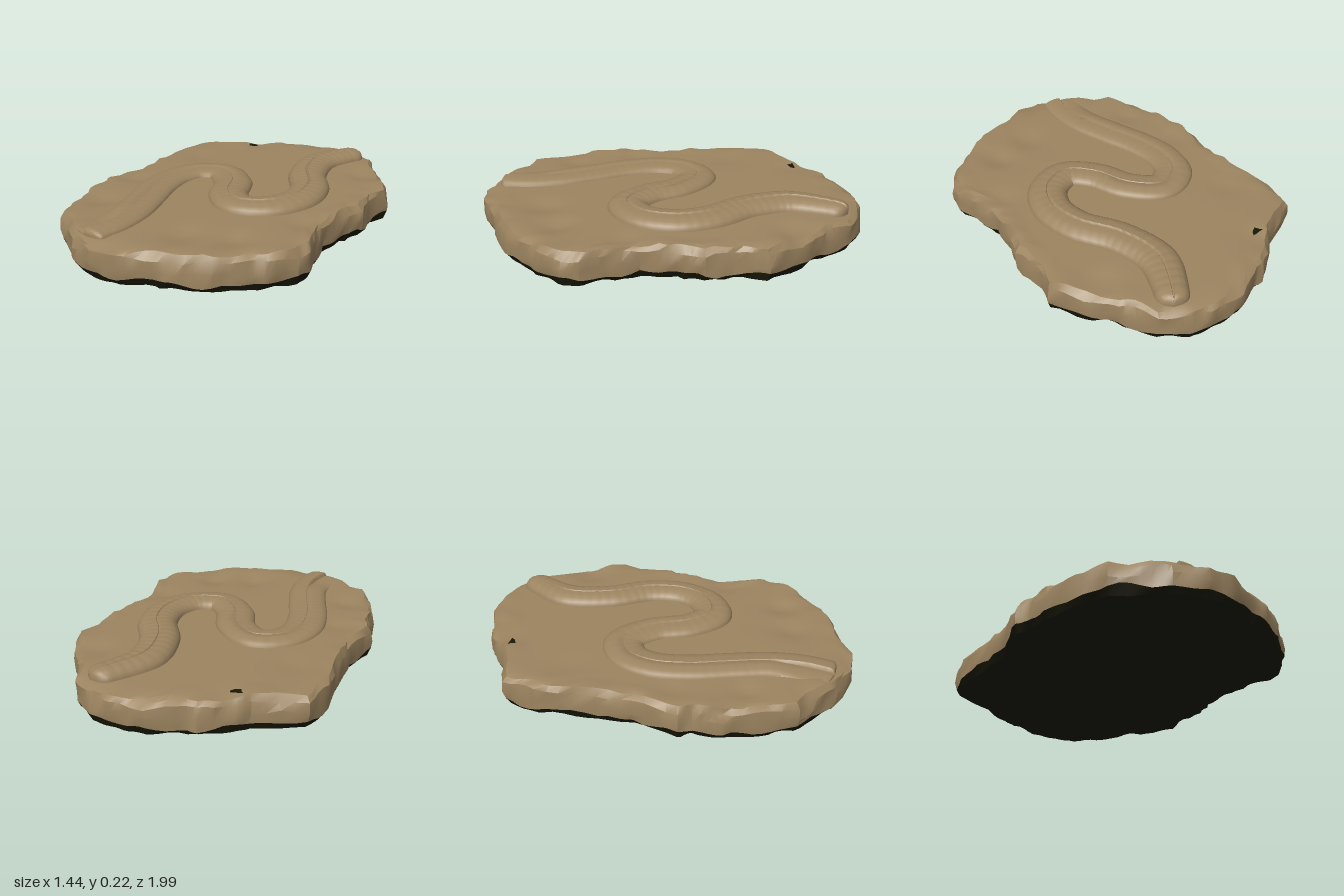
import * as THREE from 'three';
import { toCreasedNormals } from 'three/addons/utils/BufferGeometryUtils.js';

// Slab outline (x, z), clockwise from the back as seen from above
const OUTLINE = [
  [0, -0.995], [0.1, -1], [0.2, -0.985], [0.33, -0.91], [0.41, -0.79], [0.45, -0.74], [0.55, -0.64], [0.655, -0.48],
  [0.63, -0.37], [0.67, -0.18], [0.64, -0.05], [0.63, 0.13], [0.675, 0.29], [0.72, 0.4], [0.715, 0.49],
  [0.64, 0.61], [0.57, 0.67], [0.46, 0.785], [0.32, 0.87], [0.22, 0.9], [0.07, 0.98], [-0.07, 1],
  [-0.235, 0.95], [-0.31, 0.9], [-0.475, 0.81], [-0.56, 0.66], [-0.635, 0.49], [-0.655, 0.35], [-0.695, 0.29],
  [-0.665, 0.06], [-0.69, -0.18], [-0.725, -0.42], [-0.705, -0.6], [-0.48, -0.72], [-0.42, -0.79],
  [-0.3, -0.89], [-0.25, -0.89], [-0.09, -0.985],
];

// Centre line of the body (x, z) from the back end to the front end
const PATH = [
  [0.245, -0.9], [0.185, -0.78], [0.135, -0.61], [0.2, -0.39], [0.33, -0.2], [0.37, -0.02], [0.31, 0.14],
  [0.17, 0.21], [0.04, 0.12], [-0.06, -0.05], [-0.21, -0.15], [-0.335, -0.08], [-0.375, 0.06],
  [-0.34, 0.24], [-0.26, 0.43], [-0.19, 0.61], [-0.165, 0.77], [-0.18, 0.92],
];

// Body cross-section: sideways position and relative height, with a centre groove
const SECTION = [
  [-1, -0.3], [-0.99, 0.15], [-0.9, 0.5], [-0.7, 0.8], [-0.4, 0.97], [-0.1, 1], [-0.04, 0.88],
  [0.02, 0.86], [0.05, 0.95], [0.4, 0.93], [0.7, 0.77], [0.9, 0.48], [0.99, 0.15], [1, -0.3],
];

// Joins rows of points into one surface
function loft(rows, closed) {
  const n = rows[0].length, index = [];
  for (let j = 0; j < rows.length - 1; j++) {
    for (let i = 0; i < (closed ? n : n - 1); i++) {
      const a = j * n + i, b = j * n + (i + 1) % n;
      index.push(a, a + n, b, b, a + n, b + n);
    }
  }
  const geo = new THREE.BufferGeometry();
  geo.setAttribute('position', new THREE.Float32BufferAttribute(rows.flat(2), 3));
  geo.setIndex(index);
  geo.computeVertexNormals();
  return geo;
}

const wobble = (a, s) => 0.6 * Math.sin(a * 9 + s) + 0.5 * Math.sin(a * 17 + s * 2.3) + 0.4 * Math.sin(a * 31 + s * 4.1);

// Shallow hollows in the upper face: x, z, radius, depth
const HOLLOWS = [
  [0.18, 0.64, 0.09, 0.02], [0.4, 0.55, 0.08, 0.022], [0.45, -0.62, 0.09, 0.022], [-0.53, 0.2, 0.07, 0.012],
  [-0.5, -0.33, 0.08, 0.01], [-0.35, -0.75, 0.07, 0.012], [-0.45, 0.55, 0.08, 0.018], [0.55, 0.2, 0.08, 0.015],
];
function topHeight(x, z) {
  let y = 0.175 - 0.02 * THREE.MathUtils.smoothstep(Math.abs(z), 0.86, 1);
  for (const [hx, hz, r, d] of HOLLOWS) y -= d * Math.exp(-((x - hx) ** 2 + (z - hz) ** 2) / (r * r));
  return y;
}

export function createModel() {
  const group = new THREE.Group();
  const stone = new THREE.MeshStandardMaterial({ color: 0x9c8460 });
  stone.name = 'tan stone';
  const dark = new THREE.MeshStandardMaterial({ color: 0x191808 });
  dark.name = 'dark underside';
  const add = (name, geo, mat) => {
    const mesh = new THREE.Mesh(geo, mat);
    mesh.name = name;
    group.add(mesh);
    return mesh;
  };

  // Subdivided outline
  const edge = [];
  OUTLINE.forEach(([x, z], i) => {
    const [nx, nz] = OUTLINE[(i + 1) % OUTLINE.length];
    for (let k = 0; k < 4; k++) edge.push([x + (nx - x) * k / 4, z + (nz - z) * k / 4]);
  });
  // One ring of the slab: moved inward, with a height rule
  const ring = (inset, rough, seed, height) => edge.map(([x, z]) => {
    const a = Math.atan2(z, x), r = Math.hypot(x, z);
    const k = 1 - (inset + rough * Math.abs(wobble(a, seed))) / r;
    return [x * k, height(x * k, z * k, a), z * k];
  });
  const scaled = (k, height) => edge.map(([x, z]) => [x * k, height(x * k, z * k), z * k]);

  // Shared border between the dark base and the stone
  const border = ring(0.003, 0.009, 5, (x, z, a) => 0.042 + 0.012 * wobble(a, 2));

  // Underside
  add('underside', toCreasedNormals(loft([
    scaled(0, () => 0.012),
    scaled(0.5, () => 0.011),
    scaled(0.85, () => 0.01),
    ring(0.022, 0.012, 1, (x, z, a) => 0.004 + 0.008 * Math.abs(wobble(a, 7))),
    border,
  ], true), 0.5), dark);

  // Chipped side and upper face
  add('slab', toCreasedNormals(loft([
    border,
    ring(0, 0.008, 3, (x, z, a) => 0.09 + 0.014 * wobble(a, 4)),
    ring(0.004, 0.016, 8, (x, z, a) => 0.146 + 0.009 * wobble(a, 6)),
    ring(0.025, 0.018, 6, (x, z, a) => topHeight(x, z) + 0.007 * wobble(a, 9)),
    ring(0.062, 0.012, 2, (x, z, a) => topHeight(x, z) + 0.004 + 0.004 * wobble(a, 3)),
    ...[0.85, 0.8, 0.75, 0.7, 0.64, 0.58, 0.5, 0.4, 0.2, 0].map((k) => scaled(k, topHeight)),
  ], true), 0.5), stone);

  // Raised winding body with rings and a centre groove
  const curve = new THREE.CatmullRomCurve3(PATH.map(([x, z]) => new THREE.Vector3(x, 0, z)));
  const steps = 320, rows = [], base = 0.173;
  for (let j = 0; j <= steps; j++) {
    const t = j / steps, p = curve.getPointAt(t), d = curve.getTangentAt(t);
    const fromEnd = Math.min(t / 0.02, (1 - t) / 0.012, 1);
    const round = Math.sqrt(Math.max(0, 1 - (1 - fromEnd) ** 2));
    const width = (0.105 - 0.03 * Math.max(0, 1 - t / 0.1)) * round;
    const crest = THREE.MathUtils.lerp(0.226, 0.207, THREE.MathUtils.smoothstep(t, 0.25, 0.7));
    const rib = 1 - 0.05 * Math.pow(Math.abs(Math.cos(t * Math.PI * 62)), 6) * (1 - 0.6 * t);
    // The right half wears down towards the front end
    const worn = THREE.MathUtils.smoothstep(t, 0.88, 0.96);
    rows.push(SECTION.map(([u, h]) => {
      const lower = u < -0.03 ? 1 - 0.65 * worn : 1;
      const y = base + (crest - base) * h * lower * rib * (0.3 + 0.7 * round);
      return [p.x + d.z * u * width, y, p.z - d.x * u * width];
    }));
  }
  add('windingBody', toCreasedNormals(loft(rows, false), 0.7), stone);

  // Small dark pit on the upper face
  const pit = new THREE.Shape([[-0.03, 0.01], [0.03, 0.016], [0.02, -0.004], [-0.005, -0.022], [-0.015, -0.006]]
    .map(([x, y]) => new THREE.Vector2(x, y)));
  const pitMesh = add('pit', new THREE.ExtrudeGeometry(pit, { depth: 0.008, bevelEnabled: false }), dark);
  pitMesh.rotation.x = -Math.PI / 2;
  pitMesh.position.set(-0.4, 0.17, -0.695);

  return group;
}
